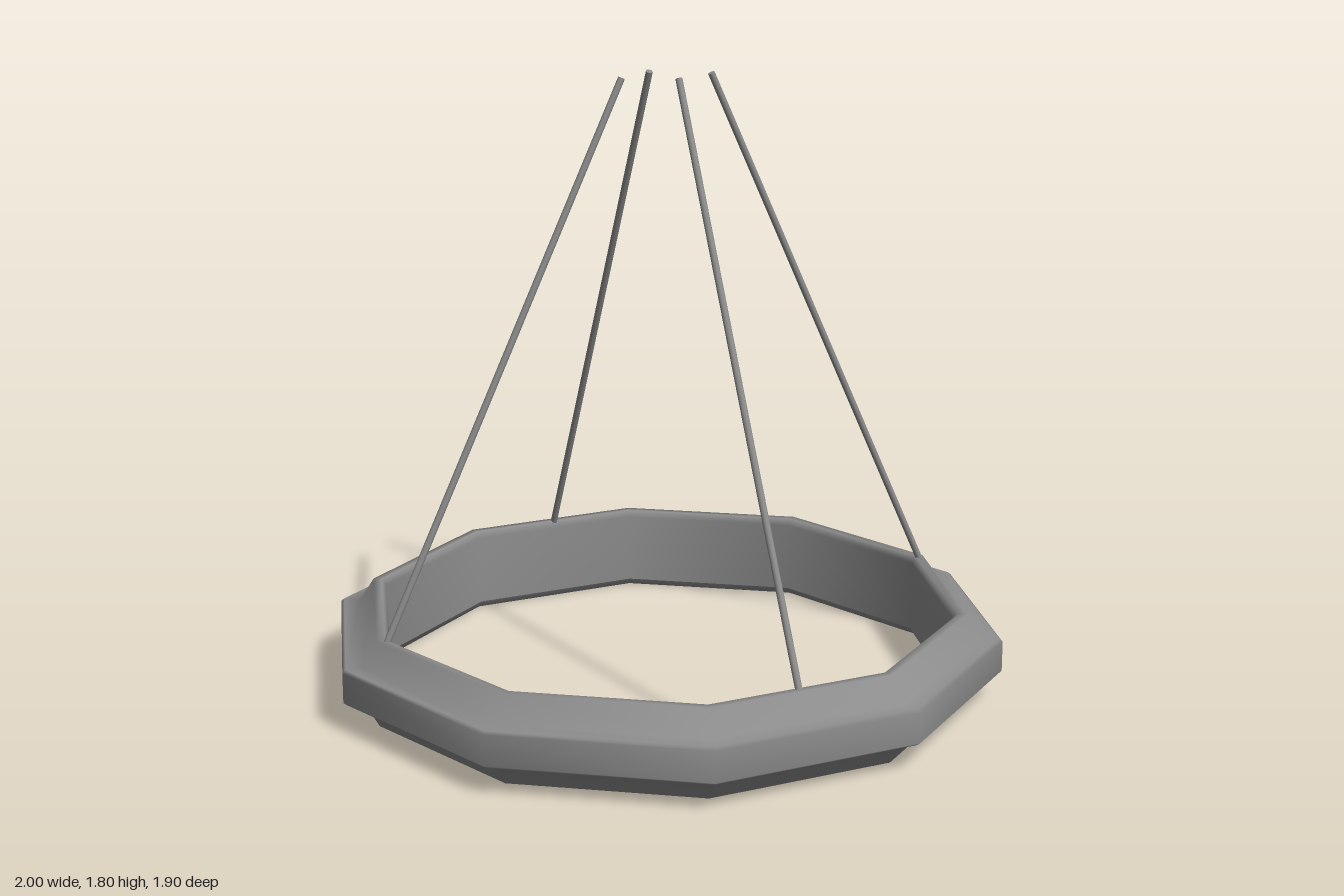
import * as THREE from 'three';

const material = new THREE.MeshStandardMaterial({ color: 0x8c8c8c });

// Round rod between two points
function rod(name, from, to, radius) {
  const a = new THREE.Vector3(...from), b = new THREE.Vector3(...to);
  const dir = b.clone().sub(a);
  const mesh = new THREE.Mesh(new THREE.CylinderGeometry(radius, radius, dir.length(), 12), material);
  mesh.position.copy(a).add(b).multiplyScalar(0.5);
  mesh.quaternion.setFromUnitVectors(new THREE.Vector3(0, 1, 0), dir.normalize());
  mesh.name = name;
  return mesh;
}

export function createModel() {
  const model = new THREE.Group();
  model.name = 'hangingRing';

  // Ten-sided ring: raised outer band, sloping shoulders, upright inner wall
  const profile = [
    [0.857, 0.02], [0.87, 0], [0.895, 0], [0.94, 0.08], [0.99, 0.08], [1, 0.088],
    [1, 0.177], [0.99, 0.185], [0.94, 0.185], [0.895, 0.255],
    [0.87, 0.255], [0.857, 0.235], [0.857, 0.02],
  ].map(([r, y]) => new THREE.Vector2(r, y));
  const ring = new THREE.Mesh(new THREE.LatheGeometry(profile, 10, Math.PI / 2), material);
  ring.name = 'ring';
  model.add(ring);

  // Four suspension rods leaning in towards the top
  const bottom = 0.245, top = 1.8;
  for (const s of [1, -1]) {
    const side = s > 0 ? 'left' : 'right', end = s > 0 ? 'front' : 'back';
    model.add(rod(side + 'Rod', [s * 0.876 + 0.004, bottom, 0.01], [s * 0.14 + 0.004, top, 0.01], 0.01));
    model.add(rod(end + 'Rod', [0, bottom, s * 0.835], [0, top, s * 0.096], 0.01));
  }
  return model;
}
